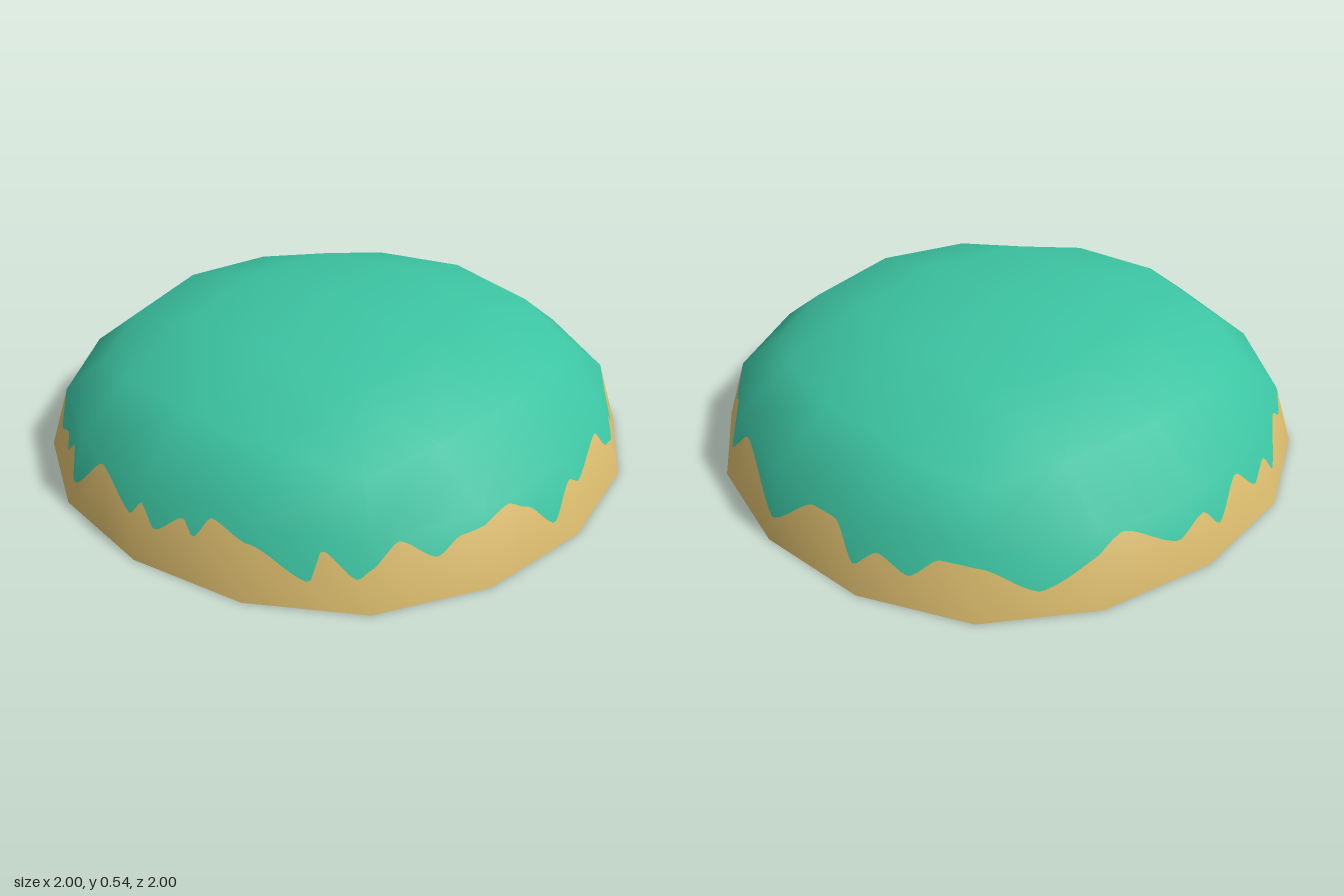
import * as THREE from 'three';

const teal = new THREE.MeshStandardMaterial({ color: 0x3cc4a2, side: THREE.DoubleSide });
teal.name = 'teal';
const sand = new THREE.MeshStandardMaterial({ color: 0xd8b96c, side: THREE.DoubleSide });
sand.name = 'sand';

// Rounded-cube grid, one quarter: [x, height, z] by |column|, |row|
const lift = h => 0.0535 + 0.49 * h;
const capTable = {
  '0,0': [0, 1, 0], '1,0': [0.4, 0.933, 0], '1,1': [0.3715, 0.8696, 0.3715],
  '2,0': [0.732, 0.732, 0], '2,1': [0.682, 0.682, 0.344], '2,2': [0.58, 0.58, 0.58],
};
function capPoint(i, j) {
  const a = Math.abs(i), b = Math.abs(j);
  const [x, h, z] = a >= b ? capTable[`${a},${b}`] : [...capTable[`${b},${a}`]].reverse();
  return [Math.sign(i) * x, lift(h), Math.sign(j) * z];
}

// Quarter turns about the vertical axis: front, +x side, back, -x side
function turn([x, y, z], k) {
  for (let n = 0; n < k; n++) [x, z] = [z, -x];
  return [x, y, z];
}
const rings = [
  [[0, lift(0.732), 0.732], [0.344, lift(0.682), 0.682], [0.58, lift(0.58), 0.58]],
  [[0, lift(0.4), 0.933], [0.3715, lift(0.3715), 0.8696], [0.682, lift(0.344), 0.682]],
  [[0, 0, 1], [0.4, 0, 0.933], [0.732, 0, 0.732]],
];
function sidePoint(level, c, k) {
  const [x, y, z] = rings[level][Math.abs(c)];
  return turn([Math.sign(c) * x, y, z], k);
}

// Peaks and troughs of the wavy border on each side: [across, height] in hundredths
const waves = [
  [[-70, 21], [-64, 11], [-55, 15], [-51, 11], [-45, 17], [-37, 8], [-24, 21], [-5, 13], [0, 19],
    [6, 12], [16, 19], [20, 14], [26, 22], [39, 18], [55, 8], [58, 18], [67, 10], [70, 13]],
  [[-70, 13], [-62, 20], [-52, 13], [-45, 18], [-28, 22], [-20, 18], [-9, 8], [0, 19], [7, 15],
    [26, 22], [33, 14], [45, 12], [49, 15], [56, 8], [61, 18], [70, 21]],
  [[-70, 21], [-62, 13], [-54, 18], [-40, 10], [-28, 21], [0, 8], [17, 20], [27, 20], [36, 9],
    [43, 15], [52, 10], [60, 17], [70, 17]],
  [[-70, 17], [-54, 8], [-30, 22], [-10, 12], [0, 18], [8, 10], [20, 21], [30, 12], [37, 18],
    [44, 9], [58, 20], [65, 15], [70, 21]],
];
function borderHeight(k, u) {
  const a = Math.abs(u), w = waves[k];
  const s = Math.sign(u) * (a < 1 ? 38.5 * a : 38.5 + 31.5 * (a - 1));
  let n = 0;
  while (n < w.length - 2 && w[n + 1][0] < s) n++;
  const [[s0, h0], [s1, h1]] = [w[n], w[n + 1]];
  const t = 0.6 * THREE.MathUtils.smoothstep(s, s0, s1) + 0.4 * (s - s0) / (s1 - s0);
  return THREE.MathUtils.lerp(h0, h1, t) / 100;
}

function makeGeometry(positions, index, normals) {
  const g = new THREE.BufferGeometry();
  g.setAttribute('position', new THREE.Float32BufferAttribute(positions, 3));
  g.setIndex(index);
  if (normals) g.setAttribute('normal', new THREE.Float32BufferAttribute(normals, 3));
  else g.computeVertexNormals();
  return g;
}

export function createModel() {
  const group = new THREE.Group();
  group.name = 'dome';

  // Coarse dome with shared corners, for smooth normals
  const positions = [], ids = new Map();
  const id = p => {
    const key = p.map(n => Math.round(n * 1000)).join();
    if (!ids.has(key)) {
      ids.set(key, positions.length / 3);
      positions.push(...p);
    }
    return ids.get(key);
  };
  const quad = (list, ...pts) => {
    const [a, b, c, d] = pts.map(id);
    list.push(a, b, c, a, c, d);
  };
  const upper = [], lower = [];
  for (let i = -2; i < 2; i++) for (let j = -2; j < 2; j++)
    quad(upper, capPoint(i, j), capPoint(i, j + 1), capPoint(i + 1, j + 1), capPoint(i + 1, j));
  for (let k = 0; k < 4; k++) for (let c = -2; c < 2; c++) for (let r = 0; r < 2; r++)
    quad(r ? lower : upper, sidePoint(r + 1, c, k), sidePoint(r + 1, c + 1, k),
      sidePoint(r, c + 1, k), sidePoint(r, c, k));
  const dome = makeGeometry(positions, [...upper, ...lower]);
  const normalAt = p => new THREE.Vector3().fromBufferAttribute(dome.attributes.normal, id(p));
  const vec = p => new THREE.Vector3(...p);

  const add = (name, geometry, material) => {
    const mesh = new THREE.Mesh(geometry, material);
    mesh.name = name;
    group.add(mesh);
  };
  add('crown', makeGeometry(positions, upper, dome.attributes.normal.array), teal);

  // Lowest ring of panels, cut along the wavy border into two colours
  const steps = 28, pos = [], nor = [], rim = [], drips = [];
  for (let k = 0; k < 4; k++) for (let c = -2; c < 2; c++) {
    const bl = sidePoint(2, c, k), br = sidePoint(2, c + 1, k);
    const tl = sidePoint(1, c, k), tr = sidePoint(1, c + 1, k);
    for (let n = 0; n <= steps; n++) {
      const t = n / steps, v = pos.length / 3;
      const bottom = vec(bl).lerp(vec(br), t), top = vec(tl).lerp(vec(tr), t);
      const nb = normalAt(bl).lerp(normalAt(br), t), nt = normalAt(tl).lerp(normalAt(tr), t);
      const cut = Math.min(borderHeight(k, c + t) / top.y, 0.98);
      for (const f of [0, cut, 1]) {
        pos.push(...bottom.clone().lerp(top, f));
        nor.push(...nb.clone().lerp(nt, f).normalize());
      }
      if (n < steps) {
        rim.push(v, v + 3, v + 4, v, v + 4, v + 1);
        drips.push(v + 1, v + 4, v + 5, v + 1, v + 5, v + 2);
      }
    }
  }
  add('wavyEdge', makeGeometry(pos, drips, nor), teal);
  add('rim', makeGeometry(pos, rim, nor), sand);
  return group;
}
